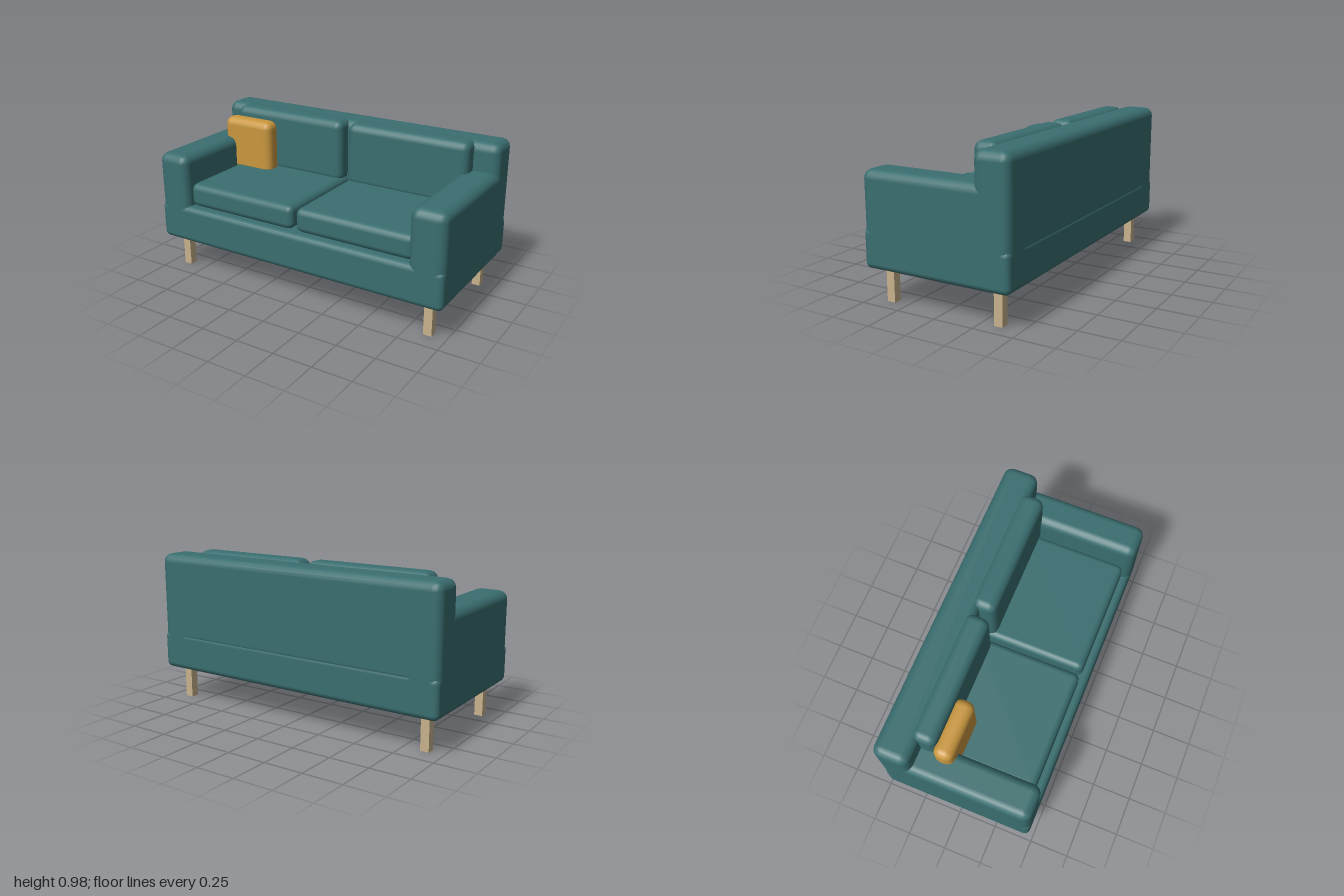
import * as THREE from 'three';
import { RoundedBoxGeometry } from 'three/addons/geometries/RoundedBoxGeometry.js';

const material = (name, color) => {
  const m = new THREE.MeshStandardMaterial({ color });
  m.name = name;
  return m;
};

export function createModel() {
  const sofa = new THREE.Group();
  sofa.name = 'sofa';
  const teal = material('teal fabric', 0x3a6e70);
  const mustard = material('mustard fabric', 0xc9973f);
  const wood = material('pale wood', 0xc8b28c);

  // Places a box by its lower and upper limits on each axis; radius 0 keeps it sharp
  function block(name, mat, [x0, x1], [y0, y1], [z0, z1], radius) {
    const size = [x1 - x0, y1 - y0, z1 - z0];
    const geometry = radius
      ? new RoundedBoxGeometry(...size, 2, radius)
      : new THREE.BoxGeometry(...size);
    const mesh = new THREE.Mesh(geometry, mat);
    mesh.name = name;
    mesh.position.set((x0 + x1) / 2, (y0 + y1) / 2, (z0 + z1) / 2);
    sofa.add(mesh);
  }

  // Frame
  block('base', teal, [-1, 1], [0.213, 0.455], [-0.477, 0.477], 0.035);
  block('backrest', teal, [-1, 1], [0.395, 0.967], [-0.477, -0.255], 0.055);

  for (const side of [-1, 1]) {
    const sideName = side > 0 ? 'left' : 'right';
    // Mirrors a span on x to this side
    const span = (a, b) => (side > 0 ? [a, b] : [-b, -a]);

    block(sideName + 'Arm', teal, span(0.78, 1), [0.325, 0.79], [-0.477, 0.477], 0.055);
    block(sideName + 'SeatCushion', teal, span(0.012, 0.79), [0.45, 0.602], [-0.27, 0.427], 0.04);
    block(sideName + 'BackCushion', teal, span(0.022, 0.842), [0.57, 0.98], [-0.308, -0.156], 0.05);

    // Square legs
    block(sideName + 'FrontLeg', wood, span(0.86, 0.913), [0, 0.23], [0.337, 0.39], 0);
    block(sideName + 'BackLeg', wood, span(0.86, 0.913), [0, 0.23], [-0.387, -0.334], 0);
  }

  // Loose throw pillow in the right corner
  block('throwPillow', mustard, [-0.875, -0.505], [0.56, 0.923], [-0.17, -0.045], 0.05);

  return sofa;
}
